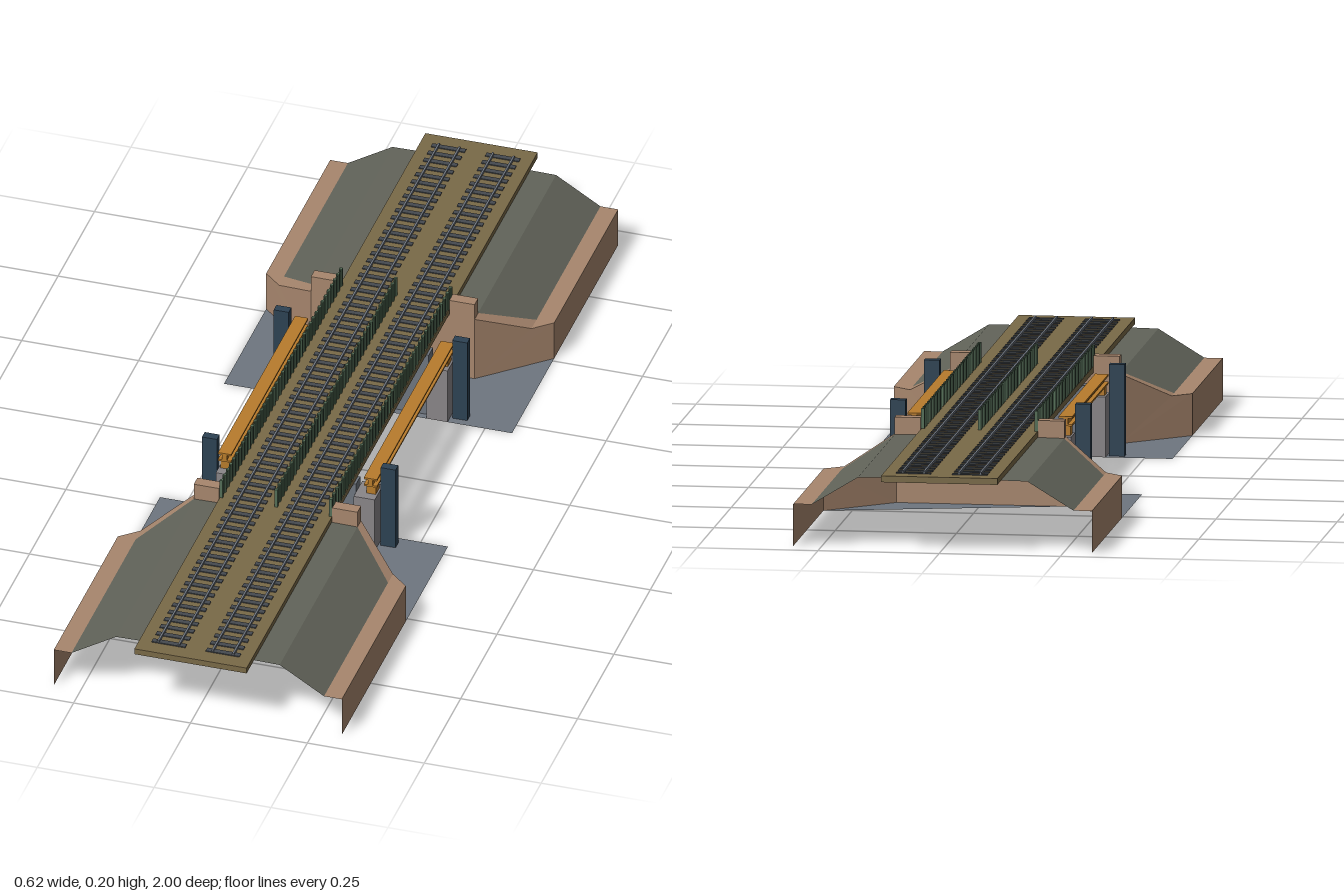
import * as THREE from 'three';
import { mergeGeometries } from 'three/addons/utils/BufferGeometryUtils.js';

const mat = (name, color, side = THREE.FrontSide) => {
  const m = new THREE.MeshStandardMaterial({ color, side });
  m.name = name;
  return m;
};

export function createModel() {
  const group = new THREE.Group();
  group.name = 'railwayBridge';
  const M = {
    stone: mat('brown stone', 0xa8876e, THREE.DoubleSide),
    bank: mat('grey green bank', 0x62645a, THREE.DoubleSide),
    pad: mat('slate ground', 0x6f7680, THREE.DoubleSide),
    deck: mat('olive ballast', 0x7a6a48),
    sleeper: mat('dark sleeper', 0x454a50),
    rail: mat('steel rail', 0x727983),
    fence: mat('dull green fence', 0x556f58),
    beam: mat('orange beam', 0xb87c2c),
    post: mat('navy post', 0x2d4254),
    pier: mat('warm grey pier', 0x8a8689),
  };
  const add = (name, geo, material) => {
    const m = new THREE.Mesh(geo, material);
    m.name = name;
    group.add(m);
    return m;
  };
  // Box from its minimum and maximum corners
  const box = (x0, x1, y0, y1, z0, z1) =>
    new THREE.BoxGeometry(Math.abs(x1 - x0), y1 - y0, Math.abs(z1 - z0))
      .translate((x0 + x1) / 2, (y0 + y1) / 2, (z0 + z1) / 2);
  // Flat convex polygons, each fanned from its first corner
  const sheet = (polys) => {
    const pos = [];
    for (const p of polys)
      for (let i = 1; i < p.length - 1; i++) pos.push(...p[0], ...p[i], ...p[i + 1]);
    const g = new THREE.BufferGeometry();
    g.setAttribute('position', new THREE.Float32BufferAttribute(pos, 3));
    g.computeVertexNormals();
    return g;
  };

  // Deck running the full length
  add('deck', box(-0.12, 0.12, 0.145, 0.158, -1, 1), M.deck);

  // Two tracks: sleepers and rails
  for (const cx of [-0.058, 0.058]) {
    const sleepers = [];
    for (let i = 0; i < 70; i++) {
      const z = -0.96 + (i * 1.92) / 69;
      sleepers.push(box(cx - 0.036, cx + 0.036, 0.157, 0.16, z - 0.006, z + 0.006));
    }
    add('sleepers', mergeGeometries(sleepers), M.sleeper);
    for (const dx of [-0.022, 0.022])
      add('rail', box(cx + dx - 0.002, cx + dx + 0.002, 0.158, 0.164, -0.965, 0.965), M.rail);
  }

  // Ribbed fences at both edges and along the middle
  for (const x of [-0.117, 0, 0.117]) {
    const parts = [box(x - 0.001, x + 0.001, 0.158, 0.199, -0.413, 0.413)];
    for (let i = 0; i < 40; i++) {
      const z = -0.41 + (i * 0.82) / 39;
      parts.push(box(x - 0.0033, x + 0.0033, 0.158, 0.2, z - 0.003, z + 0.003));
    }
    add('fence', mergeGeometries(parts), M.fence);
  }

  // Side beams with an I section
  for (const s of [-1, 1]) {
    add('sideBeam', mergeGeometries([
      box(s * 0.142, s * 0.17, 0.161, 0.165, -0.265, 0.265),
      box(s * 0.142, s * 0.17, 0.145, 0.149, -0.265, 0.265),
      box(s * 0.151, s * 0.161, 0.149, 0.161, -0.265, 0.265),
    ]), M.beam);
  }

  for (const e of [-1, 1]) {
    // Pier: recessed wall between two columns
    add('pierWall', box(-0.125, 0.125, 0, 0.145, e * 0.235, e * 0.265), M.pad);
    // Abutment front wall
    add('abutmentWall', sheet([[
      [-0.175, 0, e * 0.39], [0.175, 0, e * 0.39], [0.175, 0.145, e * 0.39], [-0.175, 0.145, e * 0.39],
    ]]), M.stone);
    // Ground under the bridge, cut along the abutment
    add('groundPad', sheet([[
      [-0.175, 0, e * 0.39], [-0.308, 0, e * 0.51], [-0.308, 0, e * 0.22],
      [0.308, 0, e * 0.22], [0.308, 0, e * 0.51], [0.175, 0, e * 0.39],
    ]]), M.pad);

    for (const s of [-1, 1]) {
      const P = (x, y, z) => [s * x, y, e * z];
      add('pierColumn', box(s * 0.125, s * 0.17, 0, 0.125, e * 0.22, e * 0.28), M.pier);
      add('bearing', box(s * 0.146, s * 0.166, 0.125, 0.146, e * 0.235, e * 0.26), M.beam);
      add('steelPost', box(s * 0.175, s * 0.207, 0, 0.19, e * 0.237, e * 0.256), M.post);
      add('cornerPost', box(s * 0.121, s * 0.175, 0.145, 0.181, e * 0.39, e * 0.415), M.stone);

      // Diagonal wing wall and outer retaining wall with their ledges
      add('wingWall', sheet([
        [P(0.175, 0, 0.39), P(0.308, 0, 0.51), P(0.308, 0.087, 0.51), P(0.27, 0.087, 0.476), P(0.175, 0.145, 0.39)],
        [P(0.175, 0.145, 0.39), P(0.27, 0.087, 0.476), P(0.27, 0.087, 0.51), P(0.175, 0.145, 0.415)],
        [P(0.27, 0.087, 0.476), P(0.308, 0.087, 0.51), P(0.27, 0.087, 0.51)],
      ]), M.stone);
      add('retainingWall', sheet([
        [P(0.308, 0, 0.51), P(0.308, 0, 0.95), P(0.308, 0.087, 0.95), P(0.308, 0.087, 0.51)],
        [P(0.27, 0.087, 0.51), P(0.308, 0.087, 0.51), P(0.308, 0.087, 0.95), P(0.27, 0.087, 0.95)],
      ]), M.stone);

      // Embankment: flat shoulder, then slope
      add('embankment', sheet([
        [P(0.115, 0.146, 0.41), P(0.175, 0.145, 0.415), P(0.175, 0.145, 0.95), P(0.115, 0.146, 0.95)],
        [P(0.175, 0.145, 0.415), P(0.27, 0.087, 0.51), P(0.27, 0.087, 0.95), P(0.175, 0.145, 0.95)],
      ]), M.bank);
    }
  }
  return group;
}
